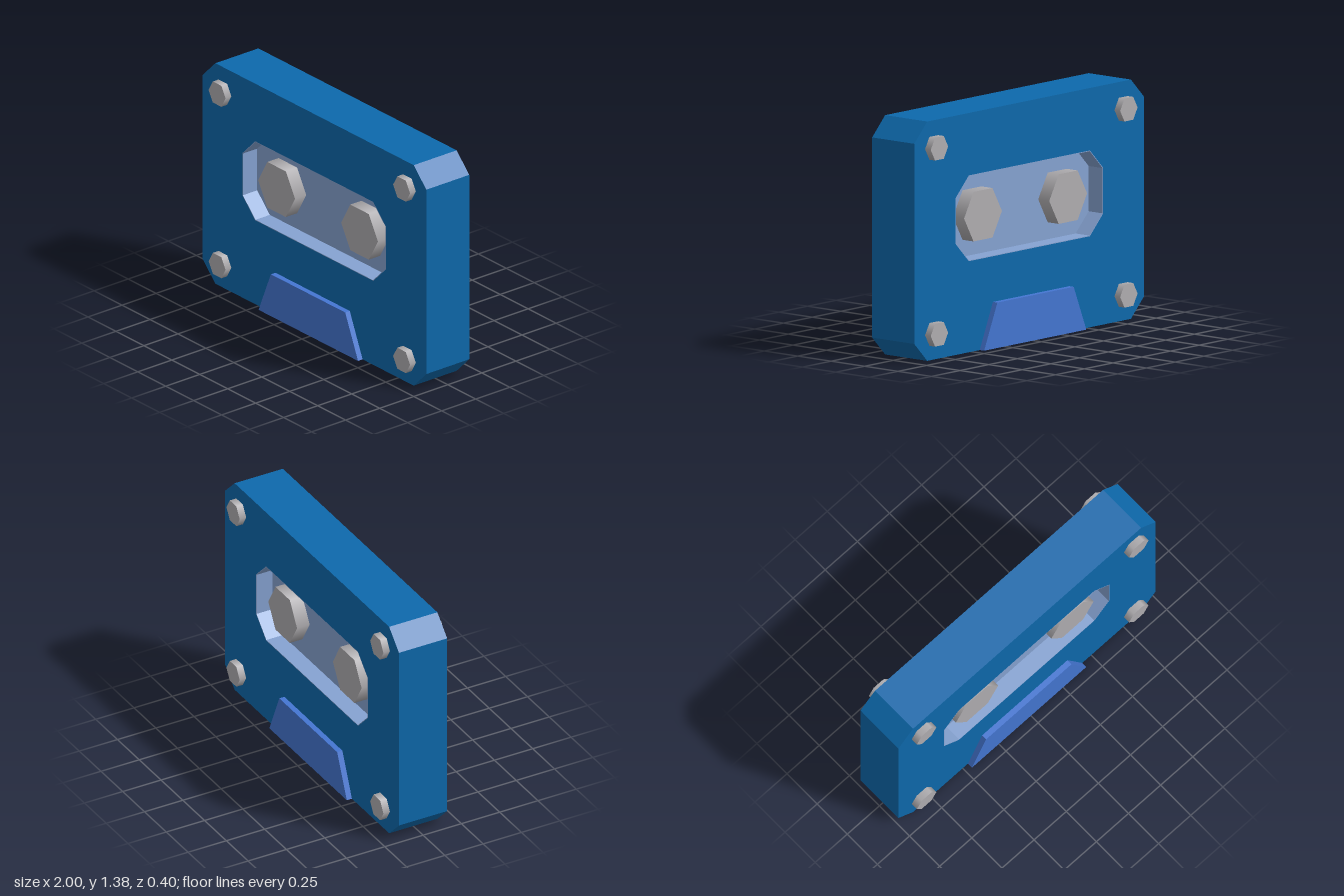
import * as THREE from 'three';

const paint = (name, color) => {
  const m = new THREE.MeshStandardMaterial({ color });
  m.name = name;
  return m;
};

// Rectangle with 45 degree cut corners
function cutCorners(Type, x0, x1, y0, y1, c) {
  return new Type([
    [x0 + c, y0], [x1 - c, y0], [x1, y0 + c], [x1, y1 - c],
    [x1 - c, y1], [x0 + c, y1], [x0, y1 - c], [x0, y0 + c],
  ].map(([x, y]) => new THREE.Vector2(x, y)));
}

// Extrusion centred on z = 0
function slab(shape, depth) {
  return new THREE.ExtrudeGeometry(shape, { depth, bevelEnabled: false }).translate(0, 0, -depth / 2);
}

// Six-sided pin along z, corners pointing sideways, softly shaded around its side
function hexPin(radius, depth) {
  return new THREE.CylinderGeometry(radius, radius, depth, 6, 1, false, Math.PI / 2).rotateX(Math.PI / 2);
}

export function createModel() {
  const group = new THREE.Group();
  group.name = 'cassette';
  const blue = paint('bodyBlue', 0x0d69ac);
  const pale = paint('windowBlue', 0x86a3d2);
  const royal = paint('trapezoidBlue', 0x4476d2);
  const grey = paint('boltGrey', 0xb0aeb1);

  const add = (name, geometry, material, x = 0, y = 0, z = 0) => {
    const mesh = new THREE.Mesh(geometry, material);
    mesh.name = name;
    mesh.position.set(x, y, z);
    group.add(mesh);
  };

  const thick = 0.315;
  const windowBox = [-0.645, 0.64, 0.525, 1.02];
  const [wx0, wx1, wy0, wy1] = windowBox;

  // Shell with the window opening
  const body = cutCorners(THREE.Shape, -1, 1, 0, 1.38, 0.113);
  body.holes.push(cutCorners(THREE.Path, ...windowBox, 0.115));
  add('body', slab(body, thick), blue);

  // Pale lining of the opening and the floor set back from both faces
  const e = 0.004;
  const lining = cutCorners(THREE.Shape, ...windowBox, 0.115);
  lining.holes.push(cutCorners(THREE.Path, wx0 + e, wx1 - e, wy0 + e, wy1 - e, 0.113));
  add('windowLining', slab(lining, thick), pale);
  add('windowFloor', slab(cutCorners(THREE.Shape, ...windowBox, 0.115), 0.105), pale);

  // Reel hubs, standing out of the floor on both sides
  for (const x of [-0.367, 0.375]) add('reelHub', hexPin(0.165, 0.27), grey, x, 0.77);

  // Corner bolts, passing through the shell
  for (const x of [-0.82, 0.83])
    for (const y of [0.15, 1.223]) add('cornerBolt', hexPin(0.076, 0.4), grey, x, y);

  // Raised trapezoid at the bottom of each face
  const trapezoid = new THREE.Shape(
    [[-0.46, 0], [0.43, 0], [0.315, 0.262], [-0.35, 0.262]].map(([x, y]) => new THREE.Vector2(x, y)));
  for (const side of [-1, 1])
    add(side > 0 ? 'frontTrapezoid' : 'backTrapezoid', slab(trapezoid, 0.034), royal, 0, 0, side * 0.174);

  return group;
}
